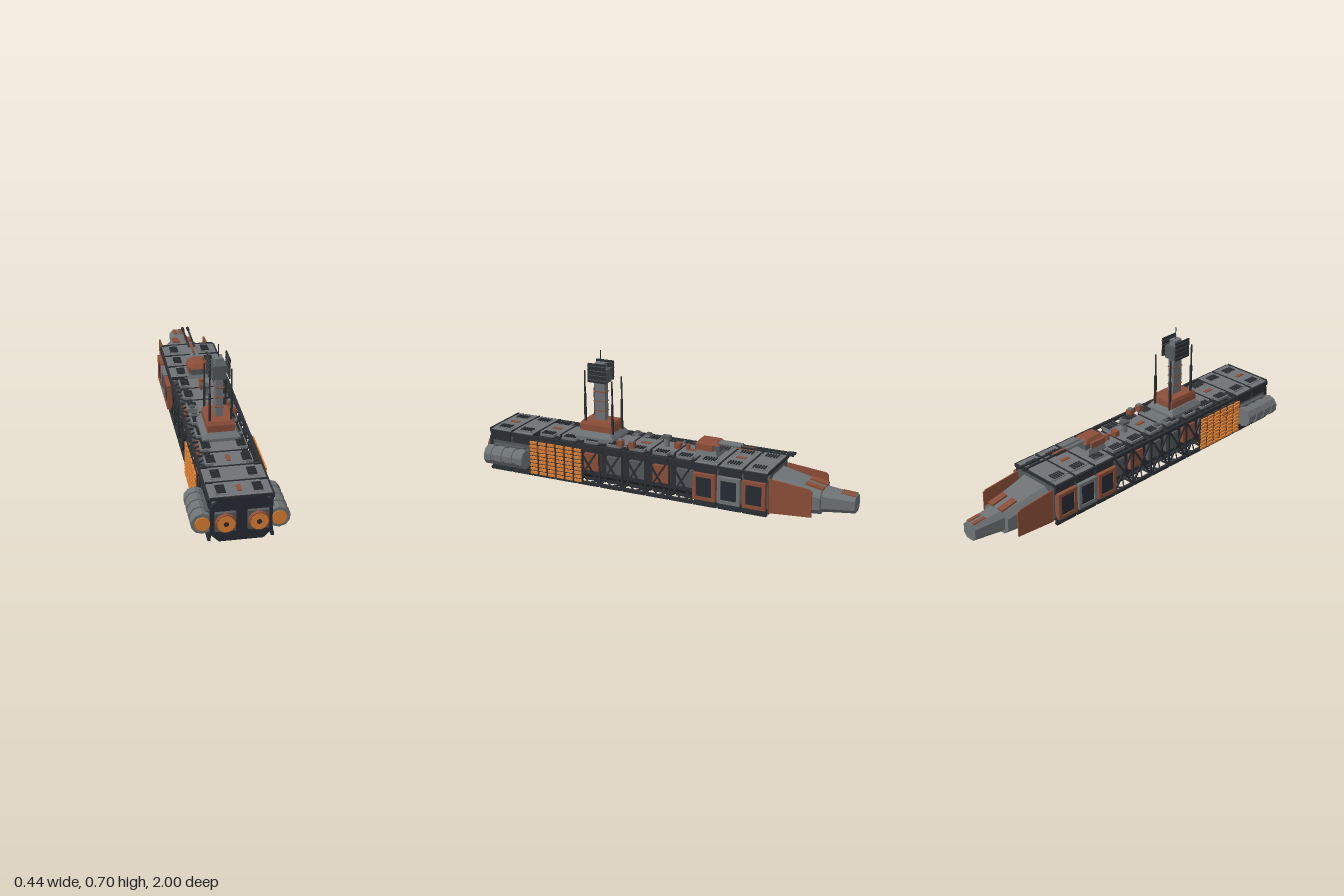
import * as THREE from 'three';

const mat = (color, extra = {}) => new THREE.MeshStandardMaterial({ color, flatShading: true, ...extra });
const GREY = mat(0x6e7376), MID = mat(0x53585a), DARK = mat(0x2b2f33), PLATE = mat(0x262c35);
const RUST = mat(0x8c4e38), ORANGE = mat(0xe08030);

export function createModel() {
  const root = new THREE.Group();
  root.name = 'spaceFreighter';
  const add = (name, geo, m, x = 0, y = 0, z = 0) => {
    const mesh = new THREE.Mesh(geo, m);
    mesh.name = name;
    mesh.position.set(x, y, z);
    root.add(mesh);
    return mesh;
  };
  const box = (name, w, h, d, x, y, z, m) => add(name, new THREE.BoxGeometry(w, h, d), m, x, y, z);
  // Square bar between two points
  const bar = (name, a, b, t, m) => {
    const p = new THREE.Vector3(...a), q = new THREE.Vector3(...b);
    const mesh = box(name, t, t, p.distanceTo(q), 0, 0, 0, m);
    mesh.position.copy(p).add(q).multiplyScalar(0.5);
    mesh.lookAt(q);
    return mesh;
  };
  // Cylinder lying along z
  const tube = (name, rFront, rBack, len, sides, x, y, z, m) =>
    add(name, new THREE.CylinderGeometry(rFront, rBack, len, sides).rotateX(Math.PI / 2), m, x, y, z);
  // Truncated pyramid with a rectangular footprint
  const frustum = (name, w, h, d, top, x, y, z, m) => {
    const g = new THREE.CylinderGeometry(top * Math.SQRT1_2, Math.SQRT1_2, h, 4).rotateY(Math.PI / 4);
    return add(name, g.scale(w, 1, d), m, x, y, z);
  };
  // Chamfered cross-sections [z, halfWidth, yLow, yHigh, chamfer] joined from +z to -z
  const loft = (name, sections, m) => {
    const pos = [], idx = [], n = sections.length;
    for (const [z, w, a, b, c] of sections)
      for (const [x, y] of [[w, a + c], [w, b - c], [w - c, b], [c - w, b], [-w, b - c], [-w, a + c], [c - w, a], [w - c, a]])
        pos.push(x, y, z);
    for (let s = 0; s < n - 1; s++)
      for (let i = 0; i < 8; i++) {
        const a = s * 8 + i, a2 = s * 8 + (i + 1) % 8;
        idx.push(a, a + 8, a2, a + 8, a2 + 8, a2);
      }
    const e = (n - 1) * 8;
    for (let i = 1; i < 7; i++) idx.push(0, i, i + 1, e, e + i + 1, e + i);
    const g = new THREE.BufferGeometry();
    g.setAttribute('position', new THREE.Float32BufferAttribute(pos, 3));
    g.setIndex(idx);
    const flat = g.toNonIndexed();
    flat.computeVertexNormals();
    return add(name, flat, m);
  };

  // Hull: full-width ends joined by a narrow spine
  loft('sternHull', [[0.95, 0.135, 0.025, 0.235, 0.035], [0.71, 0.135, 0.025, 0.235, 0.035]], MID);
  loft('sternPlate', [[0.965, 0.14, 0.02, 0.238, 0.04], [0.95, 0.14, 0.02, 0.238, 0.04]], PLATE);
  loft('spine', [[0.71, 0.085, 0.03, 0.232, 0.025], [-0.22, 0.085, 0.03, 0.232, 0.025]], DARK);
  loft('bowHull', [[-0.22, 0.135, 0.025, 0.235, 0.03], [-0.6, 0.135, 0.025, 0.235, 0.03]], MID);

  // Nose in two steps, with plating
  loft('nose', [[-0.6, 0.11, 0.035, 0.21, 0.035], [-0.84, 0.083, 0.045, 0.165, 0.03]], GREY);
  loft('noseTip', [[-0.83, 0.062, 0.05, 0.162, 0.025], [-1, 0.042, 0.065, 0.15, 0.02]], GREY);
  for (const s of [-1, 1]) {
    const fin = new THREE.Shape([[0.6, 0.035], [0.6, 0.21], [0.8, 0.19], [0.815, 0.18], [0.815, 0.05]].map(p => new THREE.Vector2(...p)));
    const g = new THREE.ExtrudeGeometry(fin, { depth: 0.006, bevelEnabled: false }).rotateY(Math.PI / 2);
    add('nosePlate', g, RUST, s * 0.125 - 0.003, 0, 0);
    for (const z of [-0.64, -0.74]) bar('nosePlateStrut', [s * 0.09, 0.12, z], [s * 0.124, 0.12, z], 0.012, DARK);
    box('noseTopPatch', 0.035, 0.012, 0.09, s * 0.035, 0.176, -0.8, RUST).rotation.x = -0.18;
    box('tipTopPatch', 0.018, 0.006, 0.07, s * 0.017, 0.154, -0.96, RUST).rotation.x = -0.07;
  }

  // Twelve repeating bays
  const bay = 0.13;
  for (let i = 0; i < 12; i++) {
    const z = 0.895 - i * bay, open = i >= 2 && i < 9, half = open ? 0.075 : 0.105;
    box('deckPlate', half * 2, 0.012, 0.118, 0, 0.238, z, GREY);
    for (const s of [-1, 1]) {
      box('bellyPlate', half - 0.004, 0.012, 0.12, s * half / 2, 0.024, z, DARK);
      // Deck vents
      box('ventBase', 0.052, 0.012, 0.08, s * 0.086, 0.24, z, GREY);
      for (let k = 0; k < 5; k++) box('ventSlat', 0.042, 0.006, 0.007, s * 0.084, 0.248, z - 0.028 + k * 0.014, DARK);
      // Edge beams
      for (const y of [0.03, 0.23]) box('edgeBeam', 0.014, 0.018, 0.122, s * 0.143, y, z, DARK);
      if (!open) {
        box('upperSidePlate', 0.012, 0.04, 0.118, s * 0.139, 0.205, z, DARK);
        box('lowerSidePlate', 0.012, 0.03, 0.118, s * 0.139, 0.05, z, DARK);
        box('deckEdge', 0.035, 0.008, 0.118, s * 0.123, 0.237, z, GREY);
        continue;
      }
      // Open truss: posts, crosses and ties to the spine
      const x = s * 0.143, za = z + bay / 2, zb = z - bay / 2;
      bar('trussPost', [x, 0.03, za], [x, 0.23, za], 0.009, DARK);
      bar('trussBrace', [x, 0.03, za], [x, 0.23, zb], 0.008, DARK);
      bar('trussBrace', [x, 0.23, za], [x, 0.03, zb], 0.008, DARK);
      for (const y of [0.035, 0.228]) {
        bar('trussTie', [s * 0.07, y, za], [x, y, za], 0.008, DARK);
        bar('trussTie', [s * 0.07, y, za], [x, y, z], 0.006, DARK);
        bar('trussTie', [s * 0.07, y, zb], [x, y, z], 0.006, DARK);
      }
      box('spineTank', 0.03, 0.09, 0.09, s * 0.09, 0.13, z, i % 3 === 1 ? RUST : MID);
    }
    if (i % 2 === 0) box('deckStripe', 0.02, 0.005, 0.05, 0, 0.246, z, RUST);
  }
  for (let i = 0; i <= 12; i++) {
    const w = i < 3 || i > 8 ? 0.28 : 0.16;
    box('deckSeam', w, 0.014, 0.007, 0, 0.239, 0.96 - i * bay, DARK);
  }
  for (const s of [-1, 1]) for (const y of [0.03, 0.234])
    bar('longRail', [s * 0.143, y, 0.96], [s * 0.143, y, -0.6], 0.009, DARK);

  for (const s of [-1, 1]) {
    // Radiator wall of small tiles
    box('radiatorBacking', 0.006, 0.185, 0.31, s * 0.156, 0.128, 0.555, DARK);
    for (let c = 0; c < 6; c++)
      for (let r = 0; r < 9; r++)
        box('radiatorTile', 0.01, 0.013, 0.04, s * 0.163, 0.046 + r * 0.0205, 0.425 + c * 0.052, ORANGE);
    box('radiatorPump', 0.024, 0.03, 0.13, s * 0.152, 0.175, 0.635, RUST);

    // Framed bow panels
    for (let k = 0; k < 3; k++) {
      const z = -0.275 - k * bay, m = k === 1 ? GREY : RUST;
      for (const e of [-1, 1]) {
        box('panelFrame', 0.03, 0.018, 0.118, s * 0.15, 0.125 + e * 0.06, z, m);
        box('panelFrame', 0.03, 0.11, 0.018, s * 0.15, 0.125, z + e * 0.05, m);
      }
      box('panelWindow', 0.02, 0.11, 0.085, s * 0.15, 0.125, z, PLATE);
    }

    // Side engine pod
    const px = s * 0.173, py = 0.113;
    tube('sidePod', 0.046, 0.046, 0.22, 10, px, py, 0.84, GREY);
    for (let k = 0; k < 4; k++) tube('podRing', 0.052, 0.052, 0.04, 10, px, py, 0.745 + k * 0.063, GREY);
    tube('podGlow', 0.034, 0.034, 0.008, 24, px, py, 0.956, ORANGE);
    box('podMount', 0.03, 0.05, 0.18, s * 0.14, 0.14, 0.84, MID);

    // Main engine
    const ex = s * 0.074, ey = 0.129;
    box('engineHousing', 0.094, 0.094, 0.02, ex, ey, 0.972, MID);
    tube('engineNozzle', 0.045, 0.048, 0.024, 24, ex, ey, 0.985, RUST);
    tube('engineGlow', 0.04, 0.04, 0.004, 24, ex, ey, 0.997, ORANGE);
    tube('engineHub', 0.012, 0.012, 0.004, 16, ex, ey, 0.998, PLATE);
  }

  // Command tower
  const tz = 0.37;
  box('towerFoot', 0.18, 0.02, 0.22, 0, 0.25, tz, GREY);
  frustum('towerBase', 0.18, 0.026, 0.22, 0.8, 0, 0.273, tz, GREY);
  box('towerBlock', 0.132, 0.034, 0.18, 0, 0.302, tz, RUST);
  frustum('towerBlockTop', 0.132, 0.016, 0.18, 0.9, 0, 0.327, tz, RUST);
  box('towerColumn', 0.036, 0.21, 0.06, 0, 0.44, tz, GREY);
  for (const y of [0.385, 0.435, 0.485]) box('towerBand', 0.042, 0.005, 0.066, 0, y, tz, RUST);
  box('towerHead', 0.064, 0.07, 0.085, 0, 0.57, tz, MID);
  box('towerCap', 0.038, 0.032, 0.05, 0, 0.62, tz, GREY);
  bar('mainAntenna', [0, 0.63, tz], [0, 0.7, tz], 0.003, DARK);
  for (const s of [-1, 1]) {
    box('sensorPanel', 0.006, 0.1, 0.1, s * 0.046, 0.59, tz, DARK);
    for (let k = 0; k < 4; k++) box('sensorRib', 0.009, 0.003, 0.102, s * 0.046, 0.555 + k * 0.024, tz, MID);
    bar('sensorArm', [0, 0.575, tz], [s * 0.046, 0.575, tz], 0.014, MID);
    for (const [z, top] of [[0.28, 0.56], [0.435, 0.6]]) {
      bar('towerMast', [s * 0.052, 0.25, z], [s * 0.052, top - 0.12, z], 0.01, DARK);
      bar('towerMastTip', [s * 0.052, top - 0.12, z], [s * 0.052, top, z], 0.006, DARK);
    }
  }

  // Twin-barrel turret
  const gz = -0.24;
  frustum('turretBase', 0.12, 0.03, 0.12, 0.85, 0, 0.257, gz, GREY);
  box('turretBody', 0.085, 0.03, 0.13, 0, 0.285, gz, MID);
  frustum('turretRoof', 0.085, 0.02, 0.13, 0.7, 0, 0.31, gz, RUST);
  for (const s of [-1, 1]) {
    box('turretCheek', 0.016, 0.03, 0.09, s * 0.047, 0.288, gz + 0.01, RUST);
    tube('gunSleeve', 0.01, 0.009, 0.12, 8, s * 0.014, 0.308, -0.35, GREY);
    tube('gunBarrel', 0.006, 0.005, 0.27, 8, s * 0.014, 0.305, -0.53, DARK);
    tube('gunMuzzle', 0.008, 0.008, 0.03, 8, s * 0.014, 0.305, -0.665, DARK);
  }
  box('gunCradle', 0.03, 0.012, 0.09, 0, 0.3, -0.43, RUST);

  // Deck equipment
  for (const z of [0.21, 0.145]) {
    box('deckLocker', 0.032, 0.03, 0.03, 0.1, 0.26, z, RUST);
    box('lockerLid', 0.022, 0.008, 0.022, 0.1, 0.279, z, GREY);
    box('deckStep', 0.05, 0.012, 0.03, -0.09, 0.25, z, GREY);
    box('deckStepTop', 0.026, 0.01, 0.022, -0.09, 0.26, z, MID);
  }
  add('deckMast', new THREE.CylinderGeometry(0.014, 0.018, 0.05, 8), GREY, 0, 0.267, 0);
  box('deckMastHead', 0.034, 0.014, 0.045, 0, 0.293, 0, MID);
  box('deckHatch', 0.036, 0.03, 0.03, 0, 0.258, -0.065, RUST);
  add('deckVent', new THREE.CylinderGeometry(0.012, 0.012, 0.03, 8), RUST, 0, 0.257, -0.12);

  // Belly sensor
  add('bellySensor', new THREE.CylinderGeometry(0.012, 0.008, 0.012, 8), RUST, 0, 0.014, tz);
  add('bellySensorTip', new THREE.CylinderGeometry(0.006, 0.003, 0.009, 8), RUST, 0, 0.0045, tz);

  return root;
}
